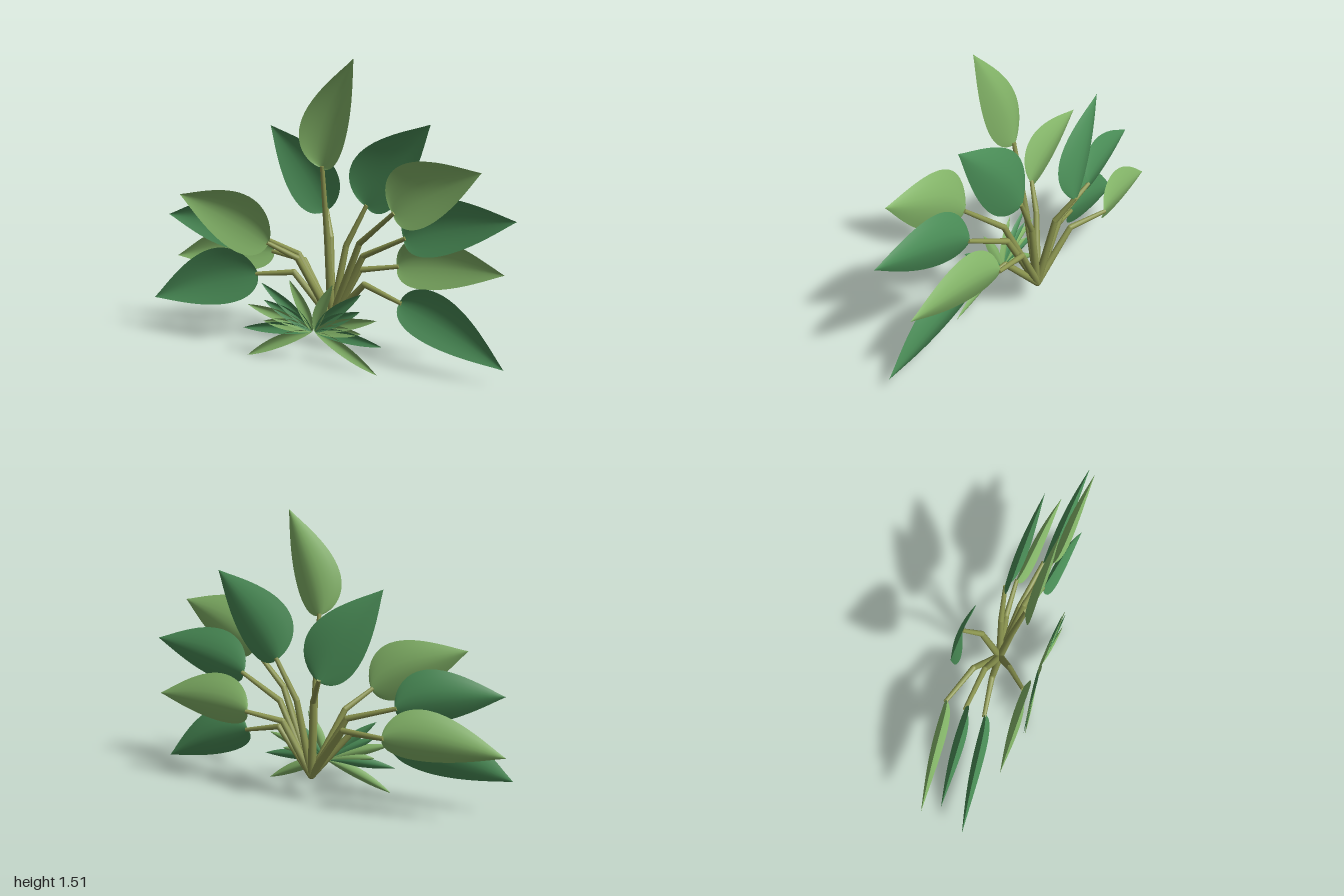
import * as THREE from 'three';

const LIGHT = new THREE.MeshStandardMaterial({ color: 0x86b86a, side: THREE.DoubleSide });
const DARK = new THREE.MeshStandardMaterial({ color: 0x4b8f58, side: THREE.DoubleSide });
const STEM = new THREE.MeshStandardMaterial({ color: 0x8c9650 });
const V = (x, y, z) => new THREE.Vector3(x, y, z);

// Cupped leaf surface from base to tip; its outline bows towards the upper side
// and its edges curl forward.
function leafGeometry(base, tip, { width, bow, cup, p, q }) {
  const rows = 22, cols = 8;
  const axis = tip.clone().sub(base);
  const up = V(-axis.y, axis.x, 0).normalize();
  if (up.y < 0) up.negate();
  const fwd = axis.clone().cross(up).normalize();
  if (fwd.z < 0) fwd.negate();
  const peak = p / (p + q);
  const norm = peak ** p * (1 - peak) ** q;
  const pos = [], index = [];
  for (let i = 0; i <= rows; i++) {
    const t = (i / rows) ** 1.6;
    const half = (t ** p * Math.max(0, 1 - t) ** q) / norm;
    const shift = bow * Math.sin(Math.PI * t ** 0.7);
    const back = -cup * 0.35 * Math.sin(Math.PI * t);
    for (let j = 0; j <= cols; j++) {
      const s = (j / cols) * 2 - 1;
      const v = base.clone().addScaledVector(axis, t)
        .addScaledVector(up, shift + s * half * width)
        .addScaledVector(fwd, back + cup * half * Math.abs(s) ** 1.6);
      pos.push(v.x, v.y, v.z);
      if (i < rows && j < cols) {
        const a = i * (cols + 1) + j, b = a + cols + 1;
        index.push(a, a + 1, b, b, a + 1, b + 1);
      }
    }
  }
  const g = new THREE.BufferGeometry();
  g.setAttribute('position', new THREE.Float32BufferAttribute(pos, 3));
  g.setIndex(index);
  g.computeVertexNormals();
  return g;
}

// Tapered rod between two points
function rod(a, b, r0, r1) {
  const d = b.clone().sub(a);
  const m = new THREE.Mesh(new THREE.CylinderGeometry(r1, r0, d.length(), 10), STEM);
  m.position.copy(a).addScaledVector(d, 0.5);
  m.quaternion.setFromUnitVectors(V(0, 1, 0), d.normalize());
  m.name = 'stemSegment';
  return m;
}

// Stem with one bend
function stem(root, bend, end) {
  const g = new THREE.Group();
  g.name = 'stem';
  const joint = new THREE.Mesh(new THREE.SphereGeometry(0.016, 10, 8), STEM);
  joint.position.copy(bend);
  joint.name = 'stemJoint';
  g.add(rod(root, bend, 0.022, 0.016), joint, rod(bend, end, 0.016, 0.011));
  return g;
}

export function createModel() {
  const plant = new THREE.Group();
  plant.name = 'leafyPlant';
  const root = V(0.015, 0.16, -0.055);

  // Broad leaves: base, tip, stem bend (x, y), material, half width
  const leaves = [
    [[0.02, 0.98, 0.085], [0.22, 1.515, 0.165], [0.02, 0.6], LIGHT, 0.125],
    [[-0.08, 0.71, -0.22], [-0.38, 1.165, -0.14], [-0.025, 0.58], DARK, 0.15],
    [[0.19, 0.77, -0.085], [0.55, 1.205, -0.005], [0.09, 0.56], DARK, 0.155],
    [[0.4, 0.78, 0.1], [0.845, 1.01, 0.175], [0.2, 0.6], LIGHT, 0.155],
    [[0.44, 0.65, 0.045], [1.0, 0.79, 0.12], [0.21, 0.53], DARK, 0.14],
    [[0.365, 0.475, -0.08], [0.93, 0.505, 0.0], [0.17, 0.44], LIGHT, 0.135],
    [[0.43, 0.33, 0.06], [0.97, 0.09, 0.145], [0.22, 0.385], DARK, 0.13],
    [[-0.235, 0.59, 0.17], [-0.73, 0.82, 0.22], [-0.13, 0.5], LIGHT, 0.15],
    [[-0.43, 0.57, -0.08], [-0.955, 0.66, -0.005], [-0.18, 0.49], DARK, 0.135],
    [[-0.4, 0.455, -0.21], [-0.985, 0.395, -0.125], [-0.18, 0.445], LIGHT, 0.13],
    [[-0.39, 0.38, 0.005], [-1.0, 0.2, 0.095], [-0.19, 0.4], DARK, 0.155],
  ];
  for (const [b, t, k, material, width] of leaves) {
    const base = V(...b), tip = V(...t);
    const shape = { width, bow: 0.036, cup: 0.045, p: 0.5, q: 1.1 };
    const leaf = new THREE.Mesh(leafGeometry(base, tip, shape), material);
    leaf.name = 'broadLeaf';
    const bend = V(k[0], k[1], root.z + (base.z - root.z) * 0.5);
    plant.add(leaf, stem(root, bend, base.clone().lerp(tip, 0.02)));
  }

  // Rounded foot where the stems meet
  const foot = new THREE.Mesh(new THREE.SphereGeometry(0.022, 12, 8), STEM);
  foot.position.copy(root);
  foot.name = 'stemFoot';
  plant.add(foot);

  // Front rosette of slim blades: angle above horizontal, length, material
  const rosette = new THREE.Group();
  rosette.name = 'rosette';
  const blades = [
    [-24, 0.39, LIGHT], [-2, 0.38, DARK], [7, 0.27, LIGHT], [18, 0.37, LIGHT],
    [29, 0.3, DARK], [41, 0.36, DARK], [66, 0.29, LIGHT],
  ];
  for (const side of [-1, 1]) {
    for (const [deg, len, material] of blades) {
      const a = THREE.MathUtils.degToRad(deg);
      const base = V(0.018 + side * 0.008, 0.16, 0.18);
      const tip = V(0.018 + side * len * Math.cos(a), 0.16 + len * Math.sin(a), 0.18 + len * 0.115);
      const shape = { width: 0.031, bow: 0.012, cup: 0.014, p: 0.75, q: 0.95 };
      const blade = new THREE.Mesh(leafGeometry(base, tip, shape), material);
      blade.name = 'rosetteBlade';
      rosette.add(blade);
    }
  }
  plant.add(rosette);
  return plant;
}
